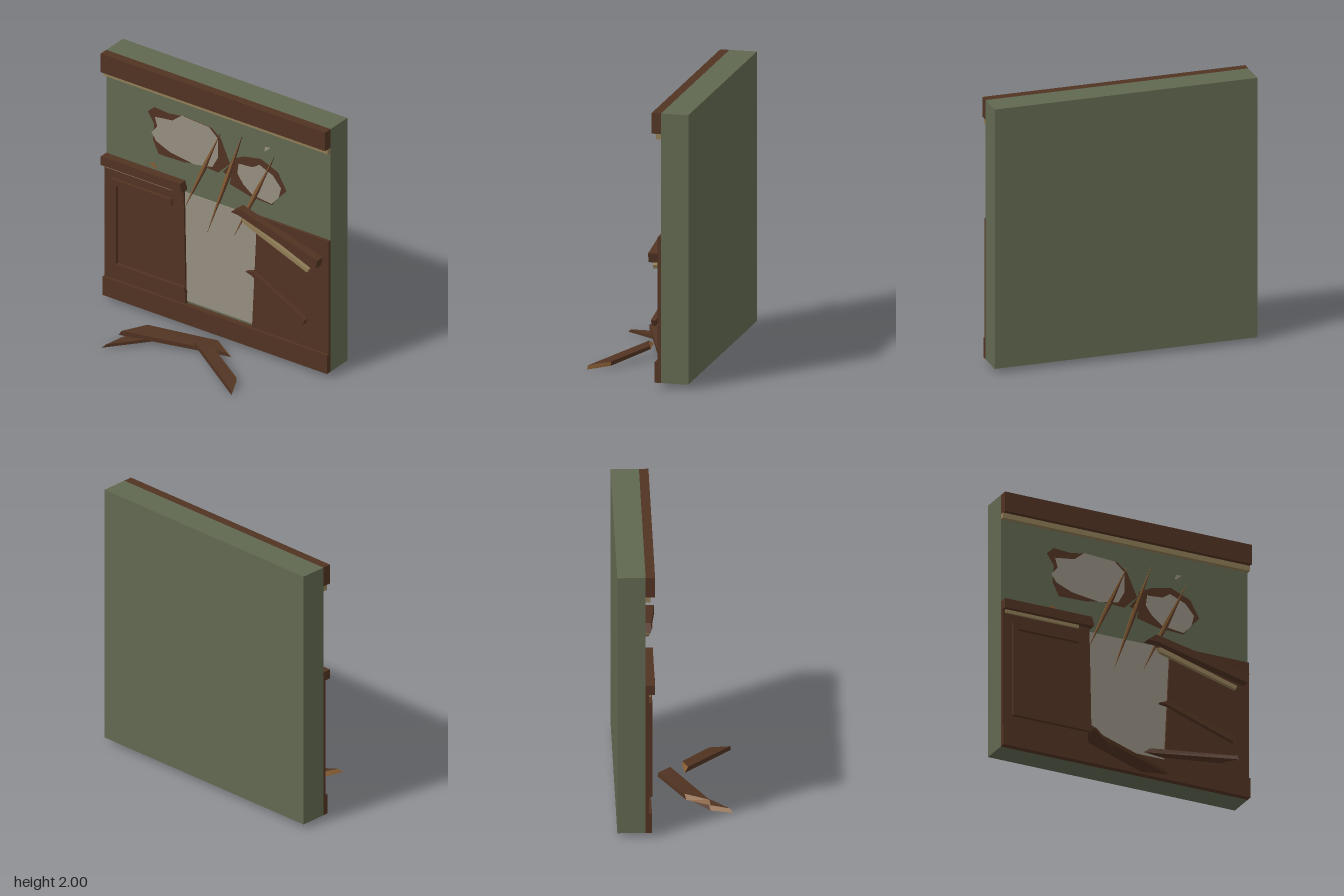
import * as THREE from 'three';

const mat = (name, color) => {
  const m = new THREE.MeshStandardMaterial({ color });
  m.name = name;
  return m;
};

export function createModel() {
  const group = new THREE.Group();
  const green = mat('faded green paint', 0x616850);
  const wood = mat('dark wood', 0x513322);
  const plaster = mat('bare plaster', 0x968e80);
  const trim = mat('pale trim', 0x907d57);
  const splinter = mat('broken wood', 0x875e34);

  const add = (name, geometry, material) => {
    const mesh = new THREE.Mesh(geometry, material);
    mesh.name = name;
    group.add(mesh);
    return mesh;
  };
  // Axis-aligned board given by its limits
  const board = (name, m, x0, x1, y0, y1, z0, z1) =>
    add(name, new THREE.BoxGeometry(x1 - x0, y1 - y0, z1 - z0), m)
      .position.set((x0 + x1) / 2, (y0 + y1) / 2, (z0 + z1) / 2);
  // Outline in the wall plane given thickness; lean pushes it forward along x
  const slab = (name, m, pts, z0, z1, lean = 0) => {
    const shape = new THREE.Shape(pts.map(([x, y]) => new THREE.Vector2(x, y)));
    const g = new THREE.ExtrudeGeometry(shape, { depth: z1 - z0, bevelEnabled: false });
    const p = g.attributes.position;
    for (let i = 0; i < p.count; i++) {
      p.setZ(i, p.getZ(i) + z0 + lean * (p.getX(i) - pts[0][0]));
    }
    g.computeVertexNormals();
    return add(name, g, m);
  };
  const FACE = -0.22;

  // Wall, cornice and baseboard
  board('wall', green, -0.98, 0.98, 0.04, 2, -0.42, FACE);
  board('cornice', wood, -0.98, 0.98, 1.85, 2, FACE, -0.153);
  board('corniceTrim', trim, -0.98, 0.98, 1.81, 1.85, FACE, -0.185);
  board('baseboard', wood, -0.98, 0.98, 0.04, 0.19, FACE, -0.175);

  // Wainscot with a broken-out middle
  slab('leftPanel', wood, [[-0.98, 0.19], [-0.27, 0.19], [-0.285, 0.95], [-0.29, 1.1], [-0.98, 1.1]], FACE, -0.197);
  slab('rightPanel', wood, [[0.31, 0.19], [0.98, 0.19], [0.98, 1.1], [0.2, 1.1], [0.35, 1.02]], FACE, -0.197);
  slab('exposedPlaster', plaster, [[-0.28, 0.208], [0.32, 0.208], [0.355, 1.08], [-0.3, 1.08]], -0.221, -0.213);

  // Left chair rail and its trim
  slab('chairRail', wood, [[-0.98, 1.1], [-0.275, 1.1], [-0.275, 1.12], [-0.29, 1.17], [-0.98, 1.17]], FACE, -0.153);
  board('chairRailTrim', trim, -0.96, -0.38, 1.075, 1.1, FACE, -0.183);

  // Panel moulding, missing its right side
  board('mouldingSide', wood, -0.905, -0.86, 0.285, 1.005, -0.2, -0.17);
  slab('mouldingTop', wood, [[-0.86, 0.96], [-0.38, 0.96], [-0.375, 0.98], [-0.39, 1.005], [-0.86, 1.005]], -0.2, -0.17);
  slab('mouldingBottom', wood, [[-0.86, 0.285], [-0.255, 0.285], [-0.27, 0.33], [-0.86, 0.33]], -0.2, -0.17);

  // Fallen rail, trim and moulding on the right, swinging off the wall
  slab('fallenRail', wood, [[0.155, 1.09], [0.23, 1.085], [0.925, 0.9], [0.94, 0.968], [0.22, 1.14]], -0.22, -0.155, 0.05);
  slab('fallenTrim', trim, [[0.24, 1.05], [0.26, 1.02], [0.84, 0.835], [0.85, 0.862], [0.27, 1.055]], -0.2, -0.17, 0.07);
  slab('fallenMoulding', wood, [[0.265, 0.632], [0.32, 0.622], [0.815, 0.412], [0.833, 0.455], [0.33, 0.655]], -0.215, -0.18, 0.125);

  // Holes in the paint: ragged wood rim with plaster inside
  const holes = [
    [[[-0.615, 1.625], [-0.56, 1.675], [-0.43, 1.665], [-0.3, 1.685], [-0.06, 1.67], [0.02, 1.61], [0.07, 1.5],
      [0.1, 1.43], [0, 1.33], [-0.18, 1.34], [-0.3, 1.315], [-0.52, 1.31], [-0.57, 1.41], [-0.56, 1.54]],
     [[-0.55, 1.6], [-0.4, 1.62], [-0.32, 1.685], [-0.08, 1.67], [0, 1.6], [0, 1.45], [-0.05, 1.36],
      [-0.2, 1.33], [-0.42, 1.36], [-0.54, 1.41], [-0.58, 1.47], [-0.53, 1.53]]],
    [[[0.04, 1.35], [0.1, 1.42], [0.12, 1.48], [0.22, 1.53], [0.37, 1.56], [0.52, 1.5], [0.595, 1.37],
      [0.52, 1.29], [0.47, 1.22], [0.27, 1.23], [0.1, 1.27], [0.11, 1.32]],
     [[0.17, 1.38], [0.18, 1.46], [0.3, 1.47], [0.36, 1.51], [0.48, 1.46], [0.55, 1.38], [0.53, 1.3],
      [0.47, 1.23], [0.3, 1.25], [0.22, 1.31]]],
  ];
  holes.forEach(([rim, inner]) => {
    slab('holeRim', wood, rim, -0.221, -0.217);
    slab('holePlaster', plaster, inner, -0.221, -0.213);
  });

  // Long tapered gashes, light on one edge and dark on the other
  [[0.02, 1.65, -0.29, 0.95], [0.21, 1.69, -0.09, 0.82], [0.49, 1.61, 0.14, 0.86]].forEach(([x0, y0, x1, y1]) => {
    const mx = x0 * 0.55 + x1 * 0.45, my = y0 * 0.55 + y1 * 0.45;
    slab('gashLight', splinter, [[x0, y0], [mx - 0.017, my + 0.008], [x1, y1], [mx + 0.003, my]], -0.221, -0.21);
    slab('gashDark', wood, [[x0, y0], [mx + 0.003, my], [x1, y1], [mx + 0.017, my - 0.008]], -0.221, -0.21);
  });

  // Small chips
  slab('plasterChip', plaster, [[0.41, 1.67], [0.455, 1.675], [0.405, 1.63]], -0.221, -0.215);
  slab('woodChip', splinter, [[-0.605, 1.21], [-0.555, 1.225], [-0.535, 1.18]], -0.221, -0.215);

  // Floor planks: corners run start-back, end-back, end-front, start-front; the two ends are raw wood
  const plank = (name, bottom, top) => {
    const v = [...bottom, ...top];
    const quads = [[4, 7, 6, 5], [0, 1, 2, 3], [3, 2, 6, 7], [1, 0, 4, 5], [0, 3, 7, 4], [2, 1, 5, 6]];
    const pos = quads.flatMap(([a, b, c, d]) => [a, b, c, a, c, d].flatMap((i) => v[i]));
    const g = new THREE.BufferGeometry();
    g.setAttribute('position', new THREE.Float32BufferAttribute(pos, 3));
    g.computeVertexNormals();
    g.addGroup(0, 24, 0);
    g.addGroup(24, 12, 1);
    add(name, g, [wood, splinter]);
  };
  plank('longPlank',
    [[-0.44, 0.06, 0.08], [0.08, 0.02, -0.11], [0.25, 0.005, -0.03], [-0.53, 0.055, 0.25]],
    [[-0.41, 0.095, 0.07], [0.08, 0.05, -0.105], [0.215, 0.035, -0.017], [-0.51, 0.09, 0.243]]);
  plank('shortPlank',
    [[-0.53, 0.015, 0.25], [-0.36, 0.04, 0.08], [-0.2, 0.04, 0.05], [-0.565, 0.01, 0.41]],
    [[-0.5, 0.045, 0.24], [-0.36, 0.065, 0.08], [-0.2, 0.065, 0.05], [-0.54, 0.035, 0.385]]);
  plank('frontPlank',
    [[0.16, 0.075, 0.065], [0.51, 0.025, 0.265], [0.58, 0.005, 0.42], [0, 0.08, 0.08]],
    [[0.165, 0.1, 0.068], [0.51, 0.055, 0.265], [0.575, 0.035, 0.415], [0.04, 0.108, 0.105]]);

  return group;
}
